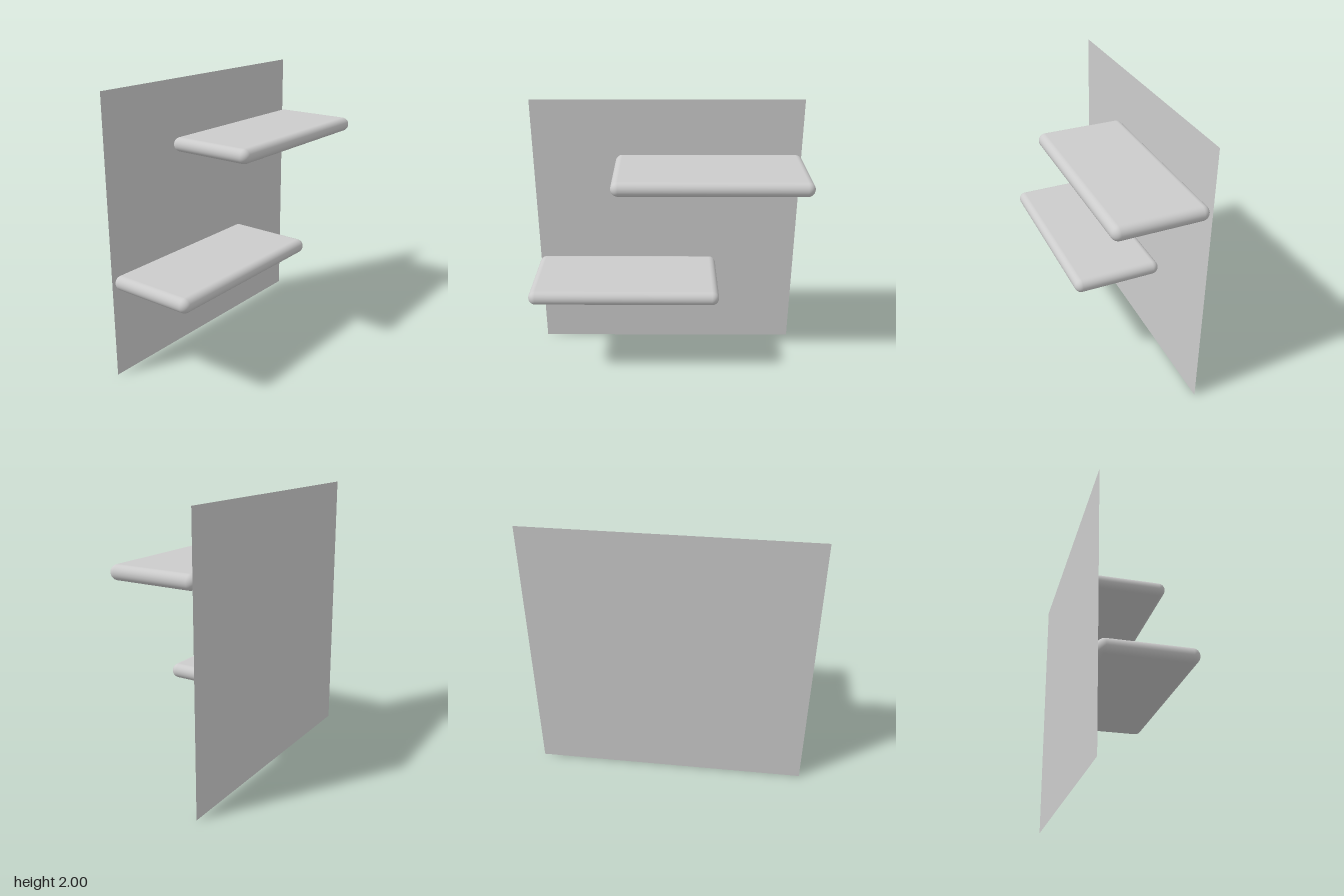
import * as THREE from 'three';
import { RoundedBoxGeometry } from 'three/addons/geometries/RoundedBoxGeometry.js';

export function createModel() {
  const group = new THREE.Group();
  const material = new THREE.MeshStandardMaterial({ color: 0xcccccc });
  const depth = 0.655, width = 1.38, thickness = 0.104;

  // Thin wall panel behind the shelves
  const panel = new THREE.Mesh(
    new THREE.PlaneGeometry(2, 2),
    new THREE.MeshStandardMaterial({ color: 0xcccccc, side: THREE.DoubleSide })
  );
  panel.name = 'wallPanel';
  panel.position.set(0, 1, -depth / 2 - 0.001);
  group.add(panel);

  // Two staggered boards with fully rounded edges
  const board = new RoundedBoxGeometry(width, thickness, depth, 8, thickness / 2 - 0.0005);
  const addShelf = (name, x, y) => {
    const shelf = new THREE.Mesh(board, material);
    shelf.name = name;
    shelf.position.set(x, y, 0);
    group.add(shelf);
  };
  addShelf('lowerShelf', -1 + width / 2, 0.705);
  addShelf('upperShelf', 1 - width / 2, 1.545);

  return group;
}
